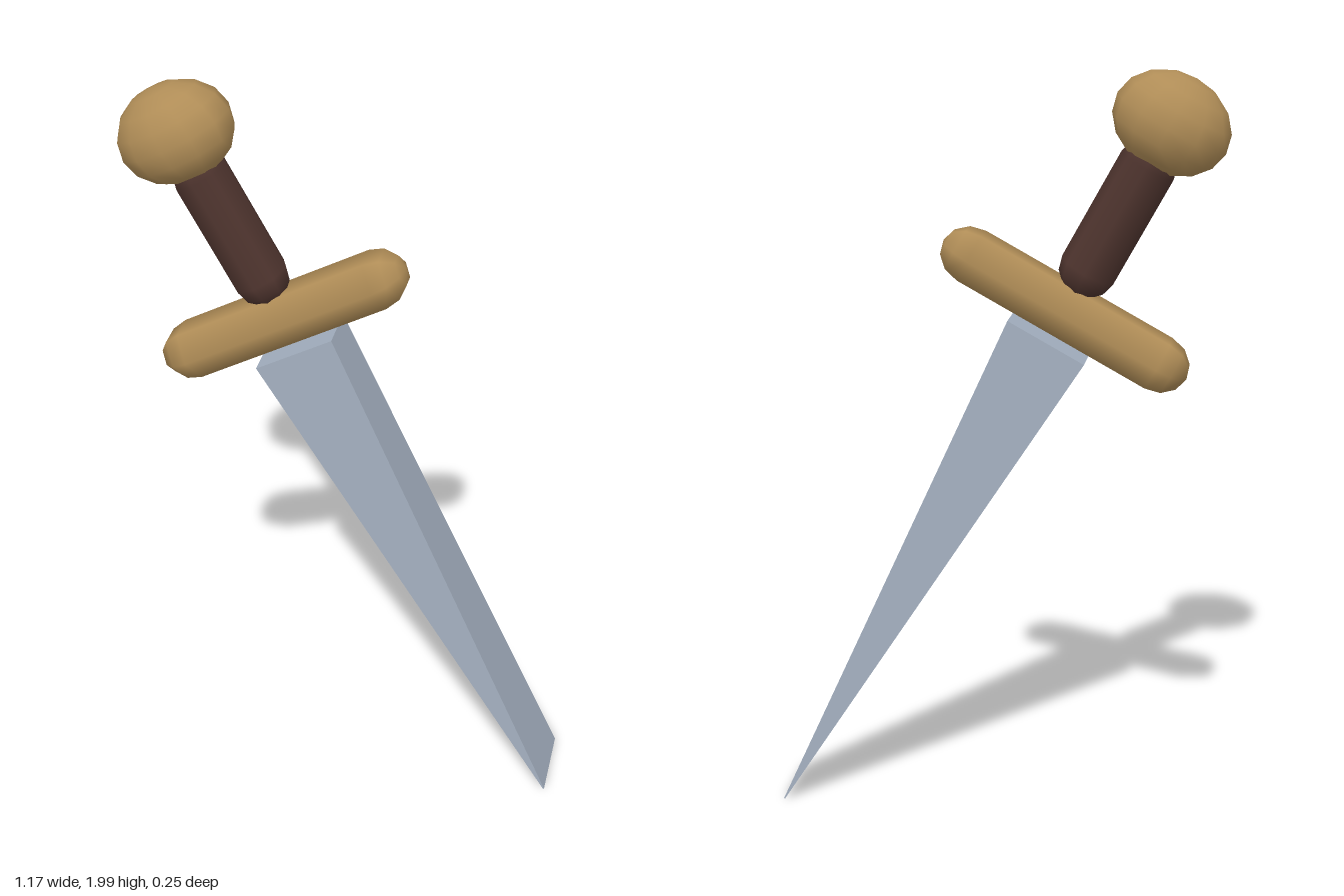
import * as THREE from 'three';

const steel = new THREE.MeshStandardMaterial({ color: 0xa3afbf });
steel.name = 'steel';
const brass = new THREE.MeshStandardMaterial({ color: 0xb08d57 });
brass.name = 'brass';
const leather = new THREE.MeshStandardMaterial({ color: 0x4e342e });
leather.name = 'leather';

function addPart(parent, name, geometry, material, y) {
  const mesh = new THREE.Mesh(geometry, material);
  mesh.name = name;
  mesh.position.y = y;
  parent.add(mesh);
}

// Wedge: narrows to a line at the bottom while its depth grows
function bladeGeometry(length, topWidth, topDepth, tipDepth) {
  const geo = new THREE.BoxGeometry(1, length, 1).toNonIndexed();
  const p = geo.attributes.position;
  for (let i = 0; i < p.count; i++) {
    const top = p.getY(i) > 0;
    p.setX(i, p.getX(i) * (top ? topWidth : 0.003));
    p.setZ(i, p.getZ(i) * (top ? topDepth : tipDepth));
  }
  geo.computeVertexNormals();
  return geo;
}

export function createModel() {
  const model = new THREE.Group();
  model.name = 'dagger';

  // The whole weapon leans to one side about its tip line
  const leaning = new THREE.Group();
  leaning.name = 'leaningDagger';
  leaning.rotation.z = 0.5;
  leaning.position.set(0.449, 0.245, 0);
  model.add(leaning);

  addPart(leaning, 'blade', bladeGeometry(1.486, 0.226, 0.136, 0.215), steel, 0.467);

  // Six-sided rounded crossguard
  const guard = new THREE.CapsuleGeometry(0.083, 0.555, 3, 6)
    .rotateY(Math.PI / 2)
    .rotateZ(Math.PI / 2)
    .scale(1, 0.92, 1);
  addPart(leaning, 'crossguard', guard, brass, 1.295);

  // Eight-sided rounded grip
  addPart(leaning, 'grip', new THREE.CapsuleGeometry(0.075, 0.31, 3, 8), leather, 1.57);

  // Pommel, wider across than tall
  const pommel = new THREE.SphereGeometry(0.126, 12, 8).scale(1.24, 1.01, 0.985);
  addPart(leaning, 'pommel', pommel, brass, 1.846);

  return model;
}
